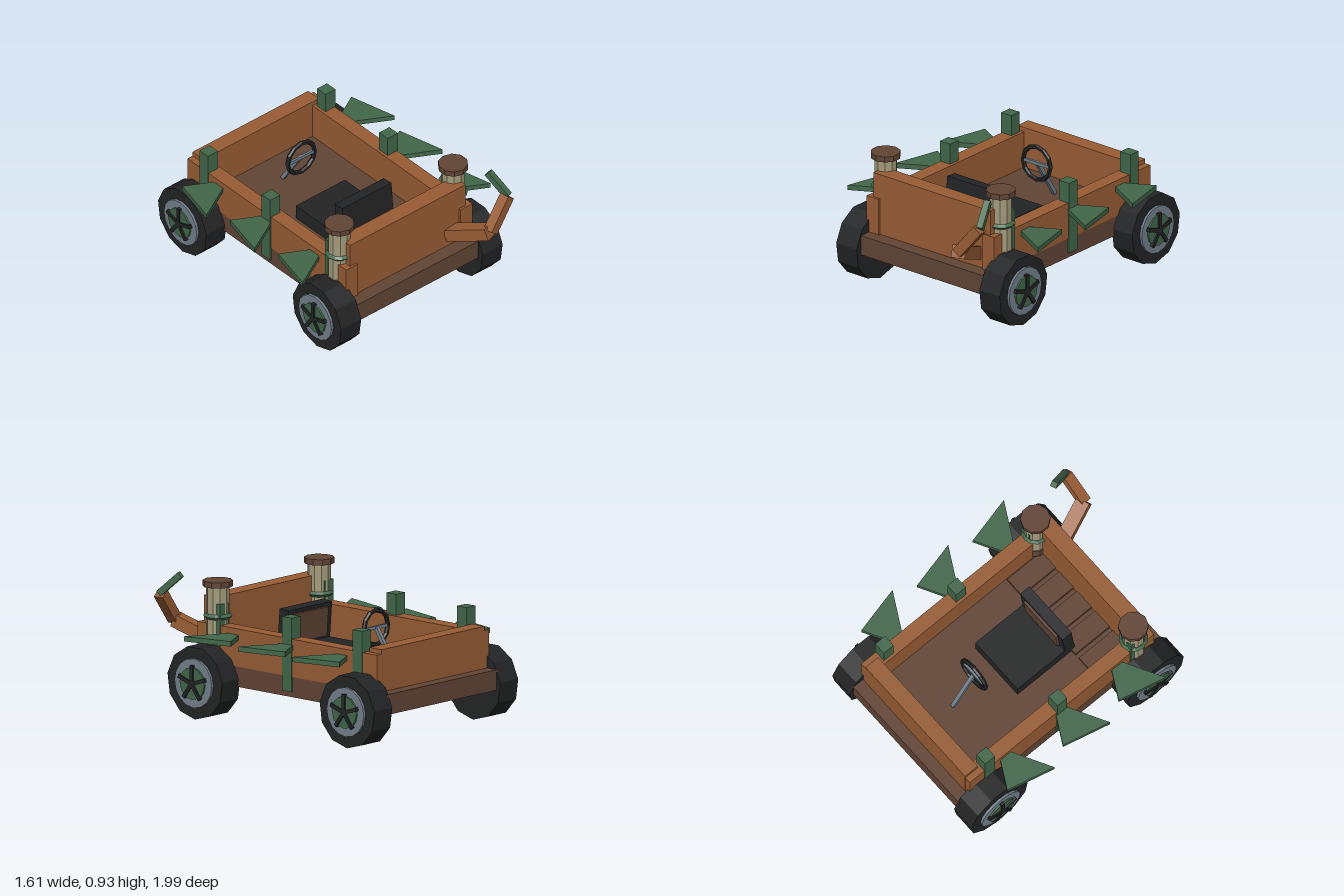
import * as THREE from 'three';

const mat = (name, color) => {
  const m = new THREE.MeshStandardMaterial({ color, flatShading: true });
  m.name = name;
  return m;
};

export function createModel() {
  const wood = mat('orange wood', 0x985d35);
  const darkWood = mat('dark wood', 0x614535);
  const green = mat('green', 0x42684a);
  const black = mat('black', 0x232425);
  const steel = mat('blue grey steel', 0x72808b);
  const cream = mat('cream bark', 0xa39b7b);

  const model = new THREE.Group();
  model.name = 'woodenBuggy';

  const add = (parent, name, geo, material, x = 0, y = 0, z = 0) => {
    const m = new THREE.Mesh(geo, material);
    m.name = name;
    m.position.set(x, y, z);
    parent.add(m);
    return m;
  };
  // Box from its minimum and maximum corners
  const box = (parent, name, material, [x0, y0, z0], [x1, y1, z1]) =>
    add(parent, name, new THREE.BoxGeometry(x1 - x0, y1 - y0, z1 - z0), material,
      (x0 + x1) / 2, (y0 + y1) / 2, (z0 + z1) / 2);
  // Square beam running between two points
  const beam = (parent, name, material, a, b, width, depth = width) => {
    const p = new THREE.Vector3(...a), q = new THREE.Vector3(...b);
    const mid = p.clone().add(q).multiplyScalar(0.5);
    const m = add(parent, name, new THREE.BoxGeometry(width, depth, p.distanceTo(q)), material, mid.x, mid.y, mid.z);
    m.lookAt(q);
    return m;
  };

  // Body tub
  box(model, 'chassis', darkWood, [-0.535, 0.225, -0.965], [0.535, 0.36, 0.77]);
  box(model, 'frontWall', wood, [-0.495, 0.36, 0.56], [0.495, 0.78, 0.675]);
  box(model, 'rearWall', wood, [-0.495, 0.36, -0.882], [0.495, 0.64, -0.775]);
  for (let i = -2; i <= 2; i++) {
    box(model, 'floorPlank', darkWood, [i * 0.178 - 0.072, 0.36, 0.27], [i * 0.178 + 0.072, 0.385, 0.56]);
  }

  // Wheel facing +x: tyre, rim, hub disc and five spokes
  const disc = (r, width, sides) =>
    new THREE.CylinderGeometry(r, r, width, sides, 1, false, Math.PI / 2).rotateZ(-Math.PI / 2);
  const makeWheel = (name) => {
    const w = new THREE.Group();
    w.name = name;
    add(w, 'tyre', disc(0.242, 0.172, 11), black);
    add(w, 'rim', disc(0.163, 0.03, 16), steel, 0.088);
    add(w, 'hubDisc', disc(0.108, 0.03, 12), green, 0.1);
    for (let i = 0; i < 5; i++) {
      const a = i * Math.PI * 2 / 5;
      const s = add(w, 'spoke', new THREE.BoxGeometry(0.022, 0.12, 0.026), black,
        0.114, Math.cos(a) * 0.06, Math.sin(a) * 0.06);
      s.rotation.x = a;
    }
    return w;
  };

  // Triangular leaf, apex buried in the wall
  const leafShape = new THREE.Shape([[0, 0], [0.268, 0.145], [0.348, -0.19]].map(p => new THREE.Vector2(...p)));
  const leafGeo = new THREE.ExtrudeGeometry(leafShape, { depth: 0.034, bevelEnabled: false }).rotateX(-Math.PI / 2);

  // Everything repeated on both sides
  for (const side of [1, -1]) {
    const g = new THREE.Group();
    g.name = side > 0 ? 'leftSide' : 'rightSide';
    g.scale.x = side;
    model.add(g);

    box(g, 'sideWall', wood, [0.44, 0.36, -0.88], [0.54, 0.61, 0.69]);

    for (const [name, z] of [['frontWheel', 0.575], ['rearWheel', -0.757]]) {
      const w = makeWheel(name);
      w.position.set(0.605, 0.242, z);
      g.add(w);
    }
    for (const z of [-0.713, -0.097, 0.53]) {
      box(g, 'post', green, [0.46, 0.26, z - 0.042], [0.546, 0.75, z + 0.042]);
    }
    for (let i = 0; i < 3; i++) {
      add(g, 'leafFender', leafGeo, green, 0.457, 0.536, -0.575 + i * 0.475);
    }

    // Front pillar with base, ring and cap
    const px = 0.487, pz = 0.56;
    add(g, 'pillar', new THREE.CylinderGeometry(0.076, 0.076, 0.48, 10), cream, px, 0.62, pz);
    add(g, 'pillarBase', new THREE.CylinderGeometry(0.08, 0.08, 0.1, 10), darkWood, px, 0.43, pz);
    add(g, 'pillarCap', new THREE.CylinderGeometry(0.099, 0.099, 0.038, 10), darkWood, px, 0.875, pz);
    add(g, 'pillarRing', new THREE.TorusGeometry(0.078, 0.018, 4, 12).rotateX(Math.PI / 2), green, px, 0.66, pz);
  }

  // Seat with a slightly tilted back
  box(model, 'seatCushion', black, [-0.21, 0.36, -0.19], [0.21, 0.46, 0.295]);
  const back = new THREE.Group();
  back.name = 'seatBack';
  back.position.set(0, 0.44, 0.25);
  back.rotation.x = -0.08;
  model.add(back);
  box(back, 'backrest', black, [-0.21, 0, -0.035], [0.21, 0.26, 0.042]);
  box(back, 'backPanel', darkWood, [-0.16, 0.04, -0.053], [0.16, 0.235, -0.034]);

  // Steering wheel and column
  add(model, 'steeringWheel', new THREE.TorusGeometry(0.115, 0.016, 6, 12), black, 0, 0.638, -0.38);
  box(model, 'steeringCrossbar', steel, [-0.11, 0.627, -0.388], [0.11, 0.649, -0.372]);
  beam(model, 'steeringColumn', steel, [0, 0.64, -0.385], [0, 0.37, -0.56], 0.026);

  // Jointed arm on the front
  const arm = new THREE.Group();
  arm.name = 'frontArm';
  model.add(arm);
  beam(arm, 'lowerArm', wood, [0.36, 0.45, 0.66], [0.462, 0.575, 0.955], 0.095, 0.085);
  beam(arm, 'upperArm', wood, [0.465, 0.575, 0.955], [0.625, 0.775, 0.935], 0.07);
  beam(arm, 'armTip', green, [0.63, 0.775, 0.94], [0.58, 0.91, 0.8], 0.043);

  return model;
}
